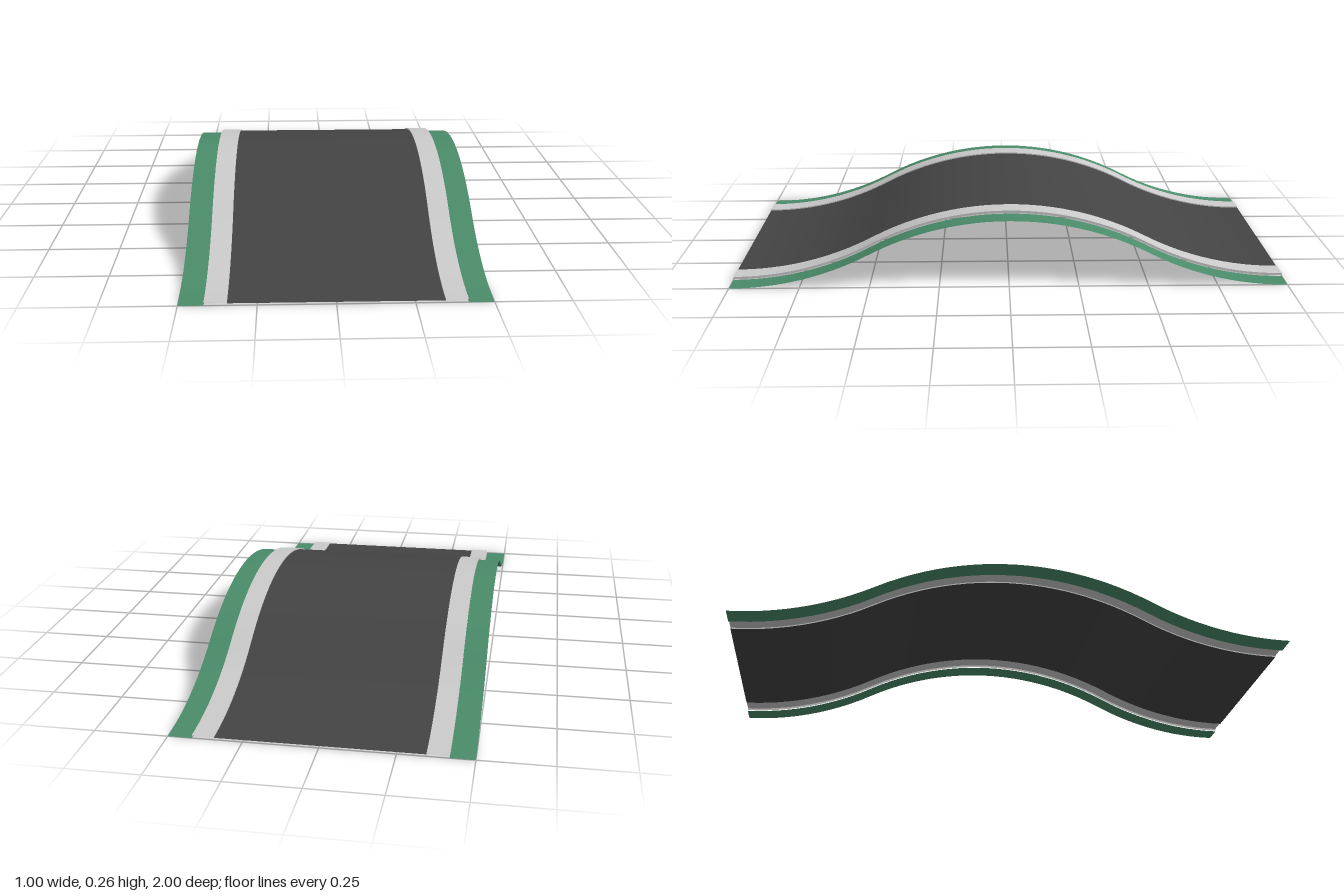
import * as THREE from 'three';

const SEGMENTS = 48;
const RISE = 0.248;
const RADIUS = (0.25 + (RISE / 2) ** 2) / RISE;

// Hill profile: a convex arc at the crest blending into concave arcs at both ends
function hill(z) {
  const d = Math.abs(z);
  const sag = (t) => RADIUS - Math.sqrt(RADIUS * RADIUS - t * t);
  return d < 0.5 ? RISE - sag(d) : sag(1 - d);
}

// Sweep one flat strip, from (x0, y0) to (x1, y1) in section, along the hill
function strip(name, [x0, y0], [x1, y1], material) {
  const geometry = new THREE.PlaneGeometry(1, 2, 1, SEGMENTS);
  geometry.rotateX(-Math.PI / 2);
  const p = geometry.attributes.position;
  for (let i = 0; i < p.count; i++) {
    const first = p.getX(i) < 0;
    const z = p.getZ(i);
    p.setXYZ(i, first ? x0 : x1, hill(z) + (first ? y0 : y1), z);
  }
  geometry.computeVertexNormals();
  const mesh = new THREE.Mesh(geometry, material);
  mesh.name = name;
  return mesh;
}

export function createModel() {
  const paint = (color) => new THREE.MeshStandardMaterial({ color, side: THREE.DoubleSide });
  const asphalt = paint(0x444444);
  const concrete = paint(0xdcdce0);
  const grass = paint(0x4a8c6a);

  const model = new THREE.Group();
  model.name = 'hillRoad';
  model.add(strip('roadSurface', [-0.345, 0.008], [0.345, 0.008], asphalt));

  // Right verge and kerb, then the left ones with their sections mirrored
  for (const side of [-1, 1]) {
    const label = side < 0 ? 'right' : 'left';
    const add = (parent, name, a, b, material) => {
      const ends = side < 0 ? [[-b[0], b[1]], [-a[0], a[1]]] : [a, b];
      parent.add(strip(name, ends[0], ends[1], material));
    };
    add(model, label + 'GrassVerge', [0.418, 0.001], [0.5, 0.001], grass);

    const kerb = new THREE.Group();
    kerb.name = label + 'Kerb';
    add(kerb, 'kerbInnerWall', [0.345, 0.008], [0.345, 0.0125], concrete);
    add(kerb, 'kerbTop', [0.345, 0.0125], [0.418, 0.0125], concrete);
    add(kerb, 'kerbOuterWall', [0.418, 0.0125], [0.418, 0.004], concrete);
    model.add(kerb);
  }
  return model;
}
